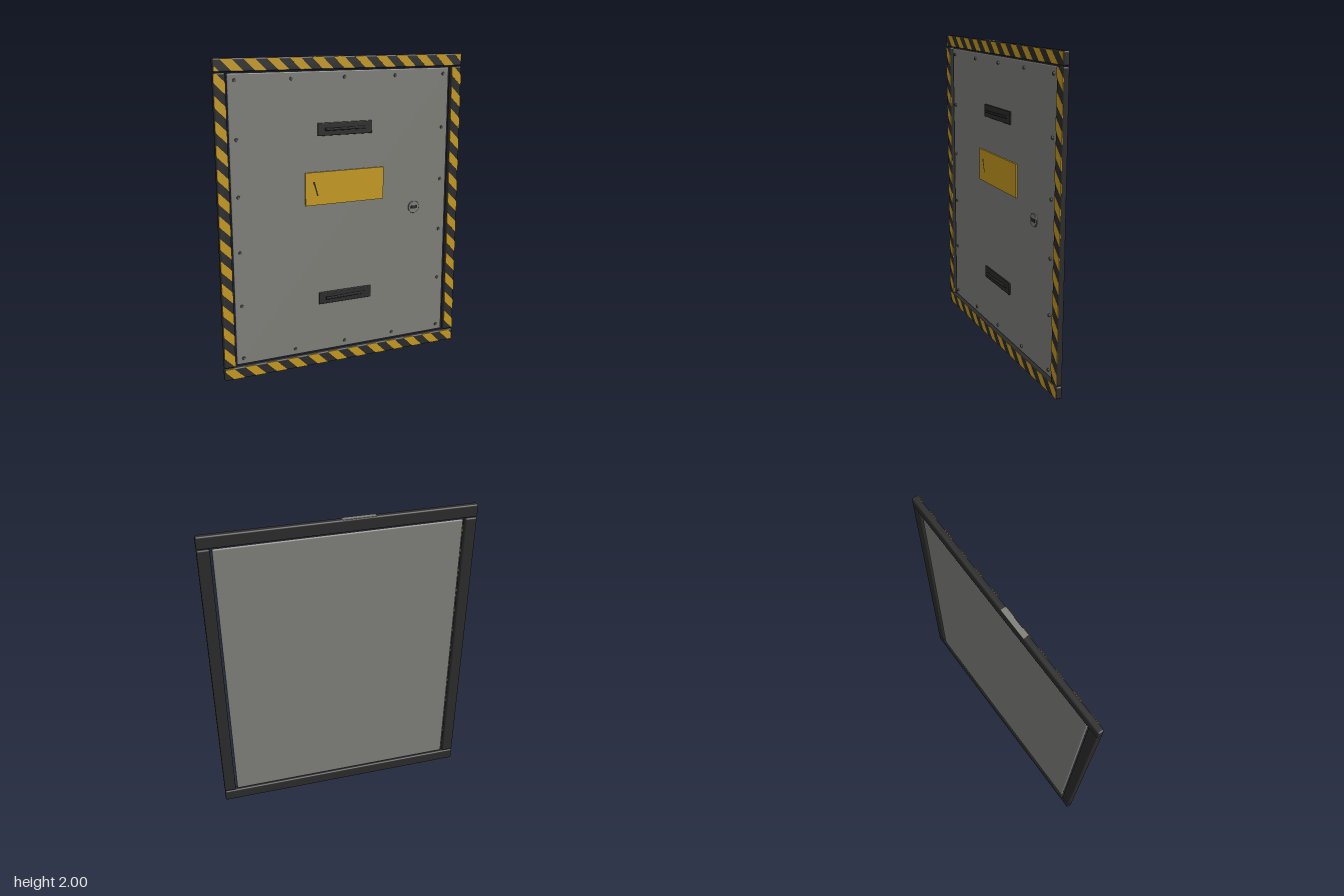
import * as THREE from 'three';
import { RoundedBoxGeometry } from 'three/addons/geometries/RoundedBoxGeometry.js';

const mat = (name, color) => Object.assign(new THREE.MeshStandardMaterial({ color }), { name });

export function createModel() {
  const grey = mat('panelGrey', 0x7e7f79);
  const dark = mat('frameBlack', 0x2b2b2b);
  const yellow = mat('hazardYellow', 0xc4981f);
  const metal = mat('boltMetal', 0x55554f);
  const root = new THREE.Group();
  root.name = 'accessHatch';

  const add = (name, geometry, material, x, y, z, parent = root) => {
    const mesh = new THREE.Mesh(geometry, material);
    mesh.name = name;
    mesh.position.set(x, y, z);
    parent.add(mesh);
    return mesh;
  };
  const block = (name, w, h, d, r, material, x, y, z, parent) =>
    add(name, new RoundedBoxGeometry(w, h, d, 3, r), material, x, y, z, parent);

  // keep the part of a polygon where sign * (p[axis] - limit) >= 0
  const clip = (pts, axis, limit, sign) => {
    const out = [];
    pts.forEach((p, i) => {
      const q = pts[(i + 1) % pts.length];
      const a = sign * (p[axis] - limit), b = sign * (q[axis] - limit);
      if (a >= 0) out.push(p);
      if (a * b < 0) out.push(p.clone().lerp(q, a / (a - b)));
    });
    return out;
  };

  // diagonal stripes, falling to the right, clipped to a rail's front
  const stripes = (name, w, h, x, y, phase) => {
    const axis = w > h ? 'x' : 'y', other = w > h ? 'y' : 'x';
    const len = Math.max(w, h) / 2, half = Math.min(w, h) / 2;
    const period = 0.142, band = 0.071;
    const shapes = [];
    for (let s = -len - period + phase; s < len + period; s += period) {
      const corner = (u, v) => {
        const p = new THREE.Vector2();
        p[axis] = u - v;
        p[other] = v;
        return p;
      };
      let pts = [corner(s, -half), corner(s + band, -half), corner(s + band, half), corner(s, half)];
      pts = clip(clip(pts, axis, -len, 1), axis, len, -1);
      if (pts.length > 2) shapes.push(new THREE.Shape(pts));
    }
    add(name, new THREE.ExtrudeGeometry(shapes, { depth: 0.007, bevelEnabled: false }), yellow, x, y, 0.0055);
  };

  // frame rails with hazard stripes
  const railZ = -0.0075, railD = 0.039;
  for (const [name, y] of [['bottomRail', 0.04], ['topRail', 1.9595]]) {
    block(name, 1.66, 0.079, railD, 0.01, dark, 0, y, railZ);
    stripes(name + 'Stripes', 1.648, 0.072, 0, y, y > 1 ? 0.07 : 0.02);
  }
  for (const [name, x] of [['leftRail', 0.793], ['rightRail', -0.793]]) {
    block(name, 0.074, 1.832, railD, 0.01, dark, x, 1, railZ);
    stripes(name + 'Stripes', 0.07, 1.82, x, 1, 0.03);
  }

  // small plate on the top edge
  add('topPlate', new THREE.BoxGeometry(0.2, 0.002, 0.034), grey, -0.105, 1.999, -0.0085);

  // door panel
  const face = -0.004;
  block('panel', 1.488, 1.822, 0.018, 0.008, grey, 0, 1, face - 0.009);

  // bolts around the panel edge
  const bolt = new THREE.CylinderGeometry(0.009, 0.011, 0.008, 12).rotateX(Math.PI / 2);
  const bolts = new THREE.Group();
  bolts.name = 'bolts';
  root.add(bolts);
  for (let i = 0; i < 5; i++)
    for (let j = 0; j < 6; j++)
      if (i % 4 === 0 || j % 5 === 0)
        add('bolt', bolt, metal, -0.7 + i * 0.35, 0.13 + j * 0.348, face + 0.003, bolts);

  // handles: backing plate with a slightly tilted bar
  for (const y of [0.455, 1.555]) {
    const handle = new THREE.Group();
    handle.name = 'handle';
    handle.position.set(0, y, 0);
    root.add(handle);
    block('handlePlate', 0.37, 0.08, 0.012, 0.004, dark, 0, 0, face + 0.005, handle);
    const bar = block('handleBar', 0.285, 0.016, 0.012, 0.005, dark, 0, 0, 0.0145, handle);
    bar.rotation.y = 0.045;
    for (const x of [-0.13, 0.13])
      add('handlePost', new THREE.BoxGeometry(0.014, 0.014, 0.012), dark, x, 0, 0.008, handle);
  }

  // warning sign with a small jagged mark
  add('sign', new THREE.BoxGeometry(0.54, 0.21, 0.01), yellow, 0, 1.185, face + 0.005);
  const zig = new THREE.Shape([[-0.022, 0.045], [-0.008, 0.045], [0.002, 0.005], [0.016, -0.045],
    [0.006, -0.045], [-0.006, 0]].map(([x, y]) => new THREE.Vector2(x, y)).reverse());
  add('signMark', new THREE.ShapeGeometry(zig), dark, -0.2, 1.185, face + 0.011);

  // round lock with a key slot
  add('lock', new THREE.CylinderGeometry(0.038, 0.04, 0.01, 32).rotateX(Math.PI / 2), grey, 0.5, 1, face + 0.004);
  add('lockRim', new THREE.TorusGeometry(0.039, 0.002, 8, 32), metal, 0.5, 1, face + 0.006);
  add('lockSlot', new THREE.BoxGeometry(0.045, 0.02, 0.004), dark, 0.5, 1, face + 0.009);

  return root;
}
